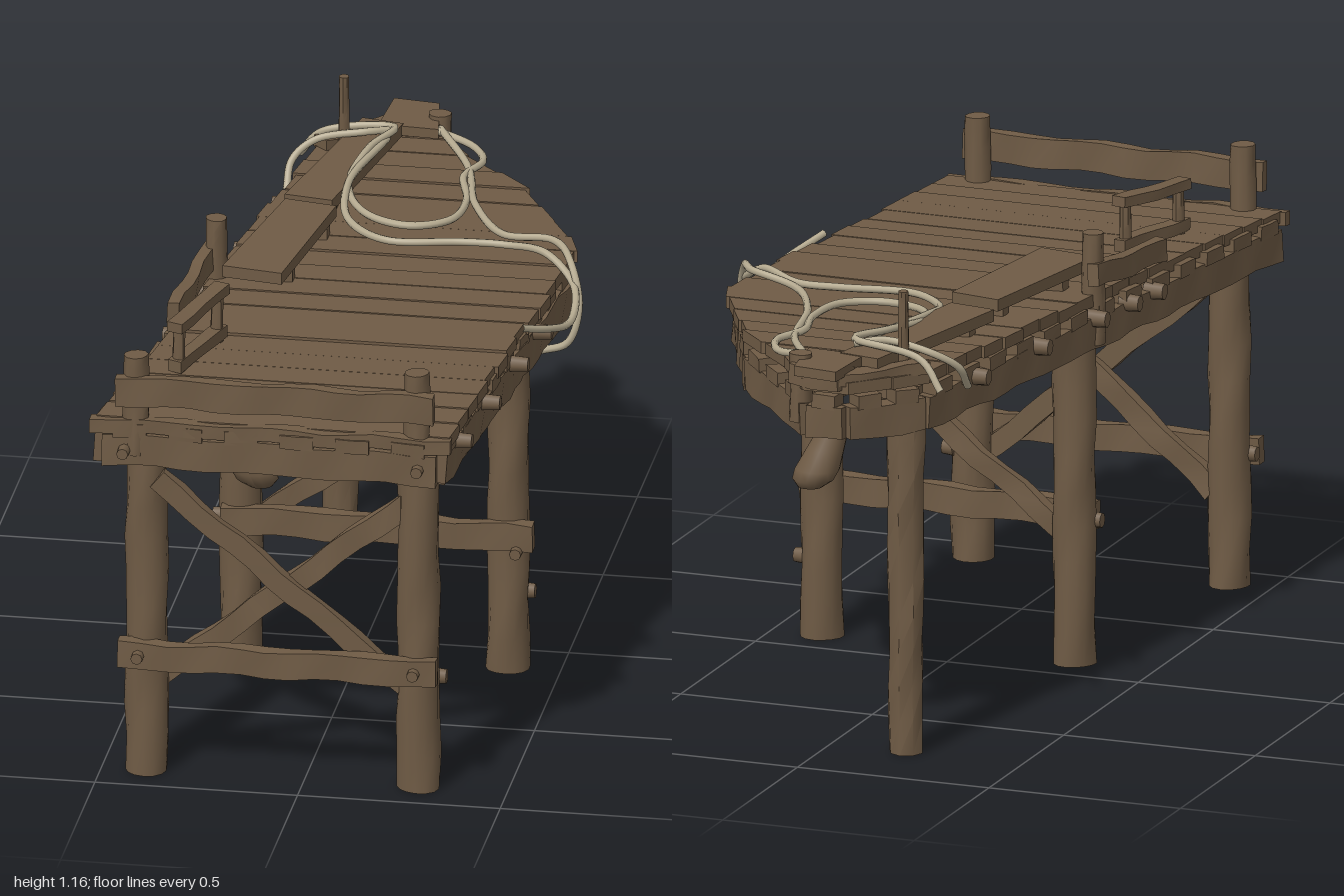
import * as THREE from 'three';
import { toCreasedNormals } from 'three/addons/utils/BufferGeometryUtils.js';

const V = (x, y, z) => new THREE.Vector3(x, y, z);

export function createModel() {
  const root = new THREE.Group();
  const wood = new THREE.MeshStandardMaterial({ color: 0x6f5b45 });
  wood.name = 'weathered wood';
  const hemp = new THREE.MeshStandardMaterial({ color: 0xb5aa90 });
  hemp.name = 'hemp rope';

  let seed = 7;
  const rnd = () => (seed = (seed * 16807) % 2147483647) / 2147483647;
  const jit = (a) => (rnd() - 0.5) * 2 * a;

  function add(name, geo, mat = wood) {
    const m = new THREE.Mesh(geo, mat);
    m.name = name;
    root.add(m);
    return m;
  }

  // Moves vertices by a smooth rule so timber looks hand-hewn
  function hew(geo, amount, phase) {
    const p = geo.attributes.position;
    for (let i = 0; i < p.count; i++) {
      const x = p.getX(i), y = p.getY(i), z = p.getZ(i);
      p.setXYZ(i, x,
        y + amount * Math.sin(x * 23 + z * 30 + phase),
        z + amount * Math.sin(x * 31 + y * 25 + phase * 2));
    }
    return toCreasedNormals(geo, 0.6);
  }

  // Rough squared beam running from a to b
  function beam(name, a, b, h, w, rough = 0.004) {
    const len = a.distanceTo(b);
    const geo = hew(new THREE.BoxGeometry(len, h, w, Math.max(2, Math.round(len * 16)), 1, 1), rough, rnd() * 6);
    const ax = b.clone().sub(a).normalize();
    const az = ax.clone().cross(V(0, 1, 0)).normalize();
    const ay = az.clone().cross(ax);
    geo.applyMatrix4(new THREE.Matrix4().makeBasis(ax, ay, az)
      .setPosition(a.clone().add(b).multiplyScalar(0.5)));
    return add(name, geo);
  }

  // Knobbly upright log
  function log(name, x, z, y0, y1, rTop, rBottom, sides = 14) {
    const geo = new THREE.CylinderGeometry(rTop, rBottom, y1 - y0, sides, 10);
    const p = geo.attributes.position, ph = rnd() * 6;
    for (let i = 0; i < p.count; i++) {
      const y = p.getY(i), a = Math.atan2(p.getZ(i), p.getX(i));
      const k = 1 + 0.05 * Math.sin(y * 17 + 2 * a + ph) + 0.03 * Math.sin(3 * a + y * 30);
      p.setX(i, p.getX(i) * k);
      p.setZ(i, p.getZ(i) * k);
    }
    const m = add(name, toCreasedNormals(geo, 0.8));
    m.position.set(x, (y0 + y1) / 2, z);
    return m;
  }

  // Flat slab from an x,z outline
  function slab(name, pts, yTop, thick) {
    const shape = new THREE.Shape(pts.map(([x, z]) => new THREE.Vector2(x, z)));
    const geo = new THREE.ExtrudeGeometry(shape, { depth: thick, bevelEnabled: false });
    geo.rotateX(Math.PI / 2);
    const m = add(name, geo);
    m.position.y = yTop;
    return m;
  }

  // Peg with its axis along d
  function peg(x, y, z, d, r = 0.017, len = 0.05) {
    const m = add('peg', new THREE.CylinderGeometry(r * 0.85, r, len, 8));
    m.quaternion.setFromUnitVectors(V(0, 1, 0), d);
    m.position.set(x, y, z);
  }

  // Deck edges: x on the left and right side for a given z
  const leftLine = [[0.95, -0.5], [-0.79, -0.25], [-0.96, -0.1]];
  const rightLine = [[0.95, 0.355], [-0.2, 0.48], [-0.27, 0.475], [-0.61, 0.29], [-0.75, 0.14], [-0.96, 0.0]];
  function edge(line, z) {
    for (let i = 0; i < line.length - 1; i++) {
      const [z0, x0] = line[i], [z1, x1] = line[i + 1];
      if (z >= z1) return x0 + (x1 - x0) * (z0 - z) / (z0 - z1);
    }
    return line[line.length - 1][1];
  }
  const deckY = (z) => 0.957 - 0.014 * z;

  // Deck planks
  const planks = 21, step = 1.89 / planks;
  for (let i = 0; i < planks; i++) {
    const za = 0.94 - i * step, zb = za - step + 0.002;
    const jl = jit(0.008), jr = jit(0.01);
    slab('deckPlank', [
      [edge(leftLine, za) + jl, za], [edge(rightLine, za) + jr, za],
      [edge(rightLine, zb) + jr, zb], [edge(leftLine, zb) + jl, zb],
    ], deckY(za) + jit(0.003), 0.03);
  }

  // Rim beams following the deck outline
  const rim = [[-0.49, 0.935], [0.335, 0.945], [0.45, -0.22], [0.27, -0.6], [0.0, -0.92], [-0.1, -0.93], [-0.235, -0.77]];
  rim.forEach(([x, z], i) => {
    const [x2, z2] = rim[(i + 1) % rim.length];
    beam('rimBeam', V(x, 0.862, z), V(x2, 0.862, z2), 0.08, 0.045);
    // Spacer blocks between rim and deck
    const len = Math.hypot(x2 - x, z2 - z), n = Math.max(1, Math.round(len / 0.13));
    for (let k = 0; k < n; k++) {
      const t0 = (k + 0.2) / n, t1 = (k + 0.8) / n;
      beam('spacerBlock', V(x + (x2 - x) * t0, 0.914, z + (z2 - z) * t0),
        V(x + (x2 - x) * t1, 0.914, z + (z2 - z) * t1), 0.035, 0.05, 0.002);
    }
  });
  beam('frontDeckLip', V(-0.52, 0.925, 0.945), V(0.37, 0.925, 0.95), 0.035, 0.03);
  beam('sideEnd', V(0.33, 0.86, 0.93), V(0.46, 0.86, -0.2), 0.085, 0.04);

  // Joist lattice under the deck
  for (let z = 0.78; z > -0.8; z -= 0.17)
    beam('crossJoist', V(edge(leftLine, z) + 0.03, 0.905, z), V(edge(rightLine, z) - 0.04, 0.905, z), 0.035, 0.04, 0.002);
  for (let k = 1; k < 6; k++) {
    const t = k / 6, xa = -0.48 + 0.81 * t, xb = -0.25 + 0.72 * t;
    const zEnd = [0, -0.8, -0.82, -0.72, -0.55, -0.4][k];
    beam('longJoist', V(xa, 0.88, 0.93), V(xa + (xb - xa) * (0.93 - zEnd) / 1.5, 0.88, zEnd), 0.035, 0.04, 0.002);
  }

  // Legs
  log('frontLeftLeg', 0.28, 0.89, 0, 0.88, 0.05, 0.053);
  log('frontRightLeg', -0.39, 0.89, 0, 0.88, 0.05, 0.053);
  log('middleLeftLeg', 0.37, 0.11, 0, 0.88, 0.05, 0.052);
  log('middleRightLeg', -0.29, 0.11, 0, 0.88, 0.053, 0.052);
  log('backLeg', -0.195, -0.775, 0, 0.88, 0.05, 0.042, 8);

  // Posts above the deck and front rail
  log('railPost', -0.41, 0.93, 0.85, 1.105, 0.03, 0.033, 10);
  log('railPost', 0.283, 0.93, 0.85, 1.105, 0.03, 0.033, 10);
  log('sidePost', -0.36, 0.055, 0.83, 1.11, 0.027, 0.03, 10);
  beam('frontRail', V(-0.455, 1.022, 0.958), V(0.33, 1.022, 0.962), 0.074, 0.028);
  beam('sideRail', V(-0.375, 1.01, 0.02), V(-0.41, 0.985, 0.38), 0.055, 0.03);

  // Front and middle bracing
  beam('frontCrossbar', V(-0.45, 0.325, 0.95), V(0.335, 0.325, 0.95), 0.068, 0.035);
  beam('frontBrace', V(-0.36, 0.78, 0.925), V(0.27, 0.25, 0.9), 0.052, 0.03);
  beam('frontBrace', V(-0.36, 0.24, 0.87), V(0.27, 0.76, 0.9), 0.055, 0.03);
  beam('middleCrossbar', V(-0.33, 0.365, 0.16), V(0.44, 0.365, 0.16), 0.07, 0.035);
  beam('middleBrace', V(-0.3, 0.31, 0.1), V(0.36, 0.8, 0.1), 0.05, 0.03);

  // Pegs and knots
  for (const [x, y] of [[-0.435, 0.862], [0.4, 0.33], [-0.4, 0.325], [0.28, 0.325], [0.29, 0.862]])
    peg(x, y, x > 0.35 ? 0.17 : 0.962, V(0, 0, 1));
  for (const z of [0.85, 0.6, 0.35, 0.14]) peg(edge(rightLine, z) + 0.015, 0.9, z, V(1, 0, 0), 0.022);
  for (const z of [0.31, 0.19, 0.03, -0.25, -0.55]) peg(edge(leftLine, z) - 0.015, 0.9, z, V(-1, 0, 0), 0.024);
  for (const [x, y, z] of [[0.42, 0.2, 0.1], [0.42, 0.36, 0.14], [0.33, 0.28, 0.86], [-0.44, 0.33, 0.91], [-0.34, 0.36, 0.13]])
    peg(x, y, z, V(Math.sign(x), 0, 0), 0.022, 0.03);

  // Loose boards lying on the deck
  slab('looseBoard', [[-0.25, -0.3], [-0.12, -0.275], [-0.18, 0.17], [-0.33, 0.145]], 1.022, 0.03);
  slab('looseBoard', [[-0.155, -0.86], [-0.05, -0.84], [-0.14, -0.33], [-0.26, -0.35]], 1.012, 0.03);
  beam('boardSupport', V(-0.29, 0.975, 0.05), V(-0.17, 0.975, 0.05), 0.04, 0.04);
  beam('boardSupport', V(-0.24, 0.975, -0.22), V(-0.13, 0.975, -0.22), 0.04, 0.04);
  beam('boardSupport', V(-0.23, 0.975, -0.42), V(-0.14, 0.975, -0.42), 0.03, 0.04);

  // Raised handle on the deck
  const ha = [-0.36, 0.67], hb = [-0.285, 0.42];
  beam('handleBar', V(ha[0], 1.07, ha[1]), V(hb[0], 1.08, hb[1]), 0.026, 0.04, 0.002);
  beam('handleBase', V(ha[0], 0.97, ha[1]), V(hb[0], 0.97, hb[1]), 0.03, 0.035, 0.002);
  for (const t of [0.1, 0.9]) {
    const x = ha[0] + (hb[0] - ha[0]) * t, z = ha[1] + (hb[1] - ha[1]) * t;
    log('handleUpright', x, z, 0.95, 1.07, 0.015, 0.017, 8);
  }

  // Tip of the platform: cap boards, stub and thin stake
  slab('tipBoard', [[-0.1, -1], [0.015, -0.985], [0.04, -0.82], [-0.11, -0.83]], 1.01, 0.025);
  beam('tipBlock', V(-0.1, 0.975, -0.93), V(0.04, 0.975, -0.9), 0.05, 0.08);
  log('tipStub', 0.03, -0.9, 0.85, 1.02, 0.028, 0.03, 10);
  beam('tipBatten', V(-0.24, 0.975, -0.76), V(-0.07, 0.975, -0.95), 0.03, 0.05);
  log('stake', -0.183, -0.76, 0.86, 1.16, 0.013, 0.014, 8);

  // Hanging wooden clubs, leaning outward towards the bottom
  const clubProfile = [[0, -0.15], [0.03, -0.145], [0.052, -0.125], [0.056, -0.1], [0.047, -0.05], [0.038, 0], [0.035, 0.05], [0, 0.05]]
    .map(([r, y]) => new THREE.Vector2(r, y));
  for (const [x, z] of [[-0.195, 0.715], [-0.04, -0.86]]) {
    const geo = new THREE.LatheGeometry(clubProfile, 16);
    const p = geo.attributes.position;
    for (let i = 0; i < p.count; i++) {
      const y = p.getY(i);
      p.setX(i, p.getX(i) - y * 0.35);
      p.setZ(i, p.getZ(i) * 0.9 + y * 0.2);
    }
    geo.computeVertexNormals();
    add('hangingClub', geo).position.set(x, 0.825, z);
  }

  // Ropes draped over the deck and its edges
  const ropes = [
    [[-0.3, 0.93, -0.81], [-0.24, 1.0, -0.79], [-0.06, 1.03, -0.77], [-0.1, 1.025, -0.65], [-0.12, 1.0, -0.45], [-0.05, 0.985, -0.32],
      [0.06, 0.98, -0.28], [0.15, 0.98, -0.33], [0.17, 0.98, -0.46], [0.14, 0.985, -0.6], [0.17, 0.985, -0.7], [0.13, 0.985, -0.79], [0.03, 1.0, -0.84]],
    [[-0.07, 1.02, -0.72], [-0.12, 1.01, -0.45], [-0.09, 0.985, -0.28], [0.02, 0.98, -0.18], [0.2, 0.98, -0.2], [0.31, 0.98, -0.2],
      [0.42, 0.99, -0.14], [0.5, 0.94, -0.07], [0.515, 0.9, 0.06], [0.48, 0.93, 0.19], [0.43, 0.965, 0.28]],
    [[0.04, 1.0, -0.85], [0.14, 0.985, -0.66], [0.2, 0.985, -0.42], [0.3, 0.985, -0.25], [0.43, 1.0, -0.2], [0.49, 0.98, -0.1],
      [0.517, 0.89, -0.05], [0.49, 0.8, -0.04], [0.42, 0.77, -0.05]],
    [[-0.305, 0.9, -0.64], [-0.3, 0.96, -0.69], [-0.25, 1.0, -0.73], [-0.13, 1.025, -0.74], [-0.06, 1.02, -0.78]],
  ];
  for (const pts of ropes) {
    const curve = new THREE.CatmullRomCurve3(pts.map((p) => V(...p)));
    add('rope', new THREE.TubeGeometry(curve, 90, 0.0095, 8), hemp);
  }
  return root;
}
